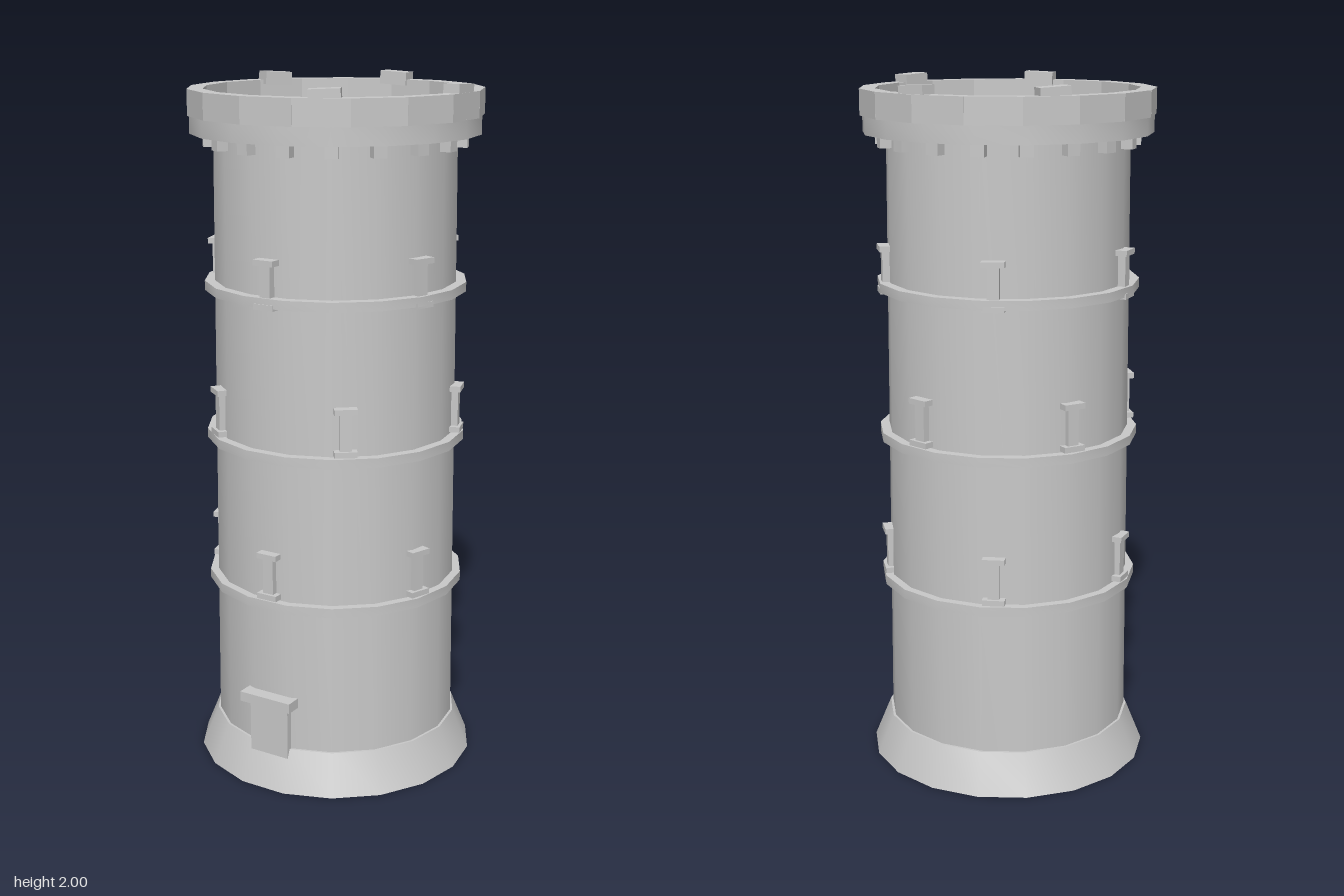
import * as THREE from 'three';
import { toCreasedNormals } from 'three/addons/utils/BufferGeometryUtils.js';

const SIDES = 18;
const DEG = Math.PI / 180;

export function createModel() {
  const tower = new THREE.Group();
  tower.name = 'tower';
  const stone = new THREE.MeshStandardMaterial({ color: 0xc8c8c8 });
  stone.name = 'stone';

  // Turned part from a [radius, y] profile, listed bottom to top on the outside
  function turned(name, profile) {
    const points = profile.map(([r, y]) => new THREE.Vector2(r, y));
    const lathe = new THREE.LatheGeometry(points, SIDES, Math.PI / 2);
    const mesh = new THREE.Mesh(toCreasedNormals(lathe, 28 * DEG), stone);
    mesh.name = name;
    tower.add(mesh);
  }

  function ring(name, inner, outer, y0, y1) {
    turned(name, [[inner, y0], [outer, y0], [outer, y1], [inner, y1], [inner, y0]]);
  }

  // Box whose outer face lies at the given radius, turned by an angle from the front
  function block(name, angle, outer, y0, y1, width, depth, parent = tower) {
    const mesh = new THREE.Mesh(new THREE.BoxGeometry(width, y1 - y0, depth), stone);
    const r = outer - depth / 2;
    mesh.position.set(Math.sin(angle) * r, (y0 + y1) / 2, Math.cos(angle) * r);
    mesh.rotation.set(0, angle, 0, 'YXZ');
    mesh.name = name;
    parent.add(mesh);
    return mesh;
  }

  // Flared foot, and the wall with its sunken roof floor
  turned('base', [[0, 0], [0.41, 0], [0.362, 0.118], [0.34, 0.118]]);
  turned('wall', [[0.355, 0.11], [0.344, 1.868], [0.338, 1.868], [0.338, 1.85], [0, 1.85]]);

  // Storey bands
  for (const y of [0.541, 0.976, 1.411]) ring('band', 0.335, 0.376, y, y + 0.027);

  // Windows: sill, shaft and lintel, five per storey, the middle storey staggered
  [[0.64, 0], [1.075, 36], [1.473, 0]].forEach(([y, offset]) => {
    for (let i = 0; i < 5; i++) {
      const window = new THREE.Group();
      window.name = 'window';
      const a = (i * 72 + offset) * DEG;
      block('sill', a, 0.373, y - 0.068, y - 0.052, 0.064, 0.045, window);
      block('shaft', a, 0.364, y - 0.052, y + 0.052, 0.033, 0.04, window);
      block('lintel', a, 0.373, y + 0.052, y + 0.068, 0.064, 0.045, window);
      tower.add(window);
    }
  });

  // Door
  block('door', 0, 0.367, 0.09, 0.25, 0.127, 0.04);
  block('doorLintel', 0, 0.389, 0.248, 0.277, 0.168, 0.06);

  // Corbels under the overhanging ring
  for (let i = 0; i < SIDES; i++) {
    block('corbel', (90 + i * 20) * DEG, 0.373, 1.815, 1.852, 0.037, 0.05);
  }
  ring('parapetRing', 0.352, 0.41, 1.85, 1.902);

  // Parapet of seventeen straight blocks
  const count = 17;
  const width = 2 * 0.415 * Math.sin(Math.PI / count);
  for (let i = 0; i < count; i++) {
    block('parapetBlock', Math.PI / 2 + (i * 2 * Math.PI) / count, 0.409, 1.9, 1.973, width, 0.044);
  }

  // Four worn merlons, slightly tilted
  [[90, 0.408, -0.04], [27.5, 0.401, 0.04], [-119.5, 0.398, 0.06], [183.5, 0.405, 0.05]]
    .forEach(([deg, outer, tilt]) => {
      const merlon = block('merlon', deg * DEG, outer, 1.958, 1.996, 0.085, 0.048);
      merlon.rotation.z = tilt;
    });

  return tower;
}
